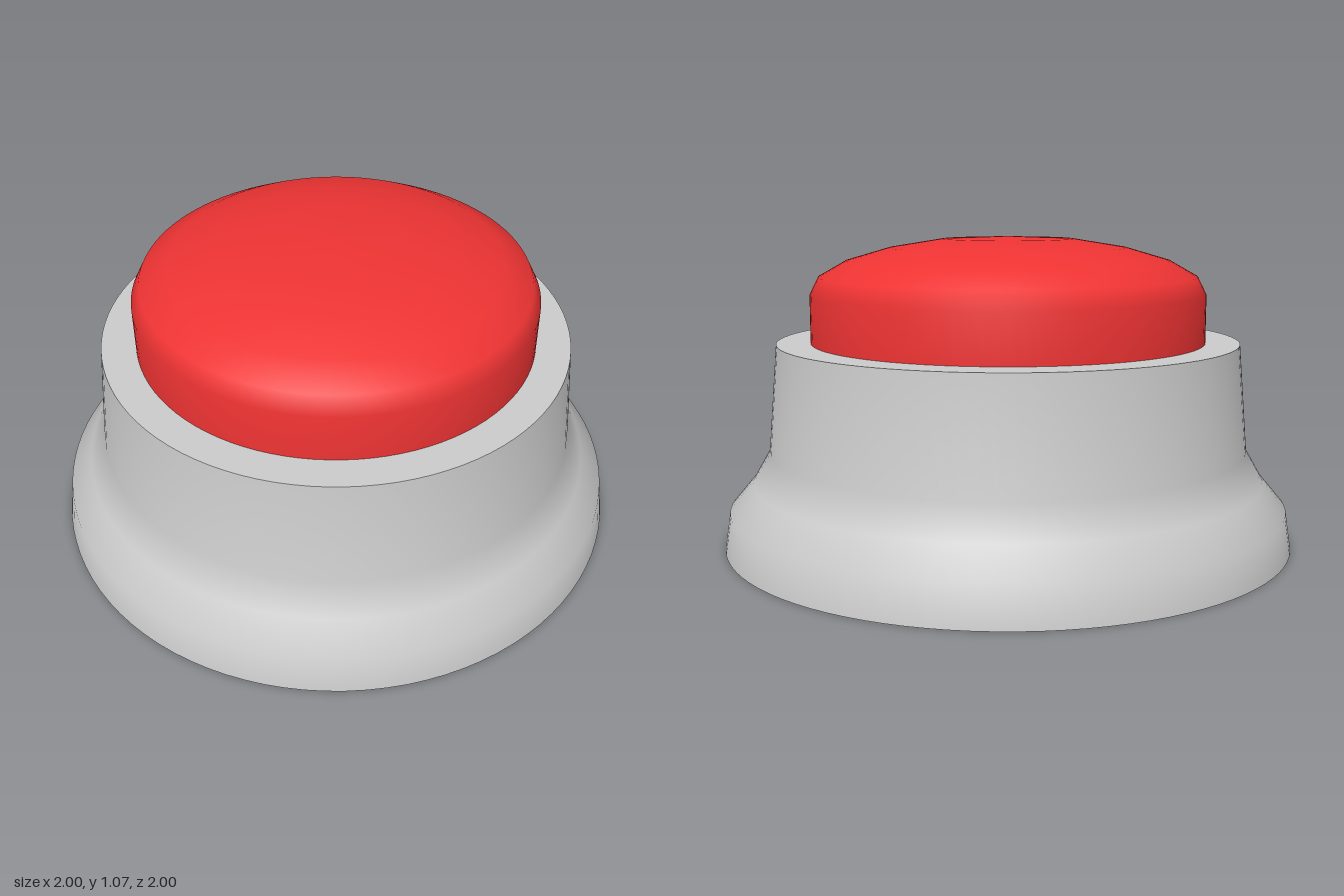
import * as THREE from 'three';

const SEGMENTS = 96;

// Smooth surface of revolution from [radius, height] pairs, bottom to top
function turned(name, profile, material) {
  const points = profile.map(([r, y]) => new THREE.Vector2(r, y));
  const mesh = new THREE.Mesh(new THREE.LatheGeometry(points, SEGMENTS), material);
  mesh.name = name;
  return mesh;
}

// Flat horizontal disc facing up (1) or down (-1), giving a crisp rim
function disc(name, radius, y, facing, material) {
  const geometry = new THREE.CircleGeometry(radius, SEGMENTS);
  geometry.rotateX(-facing * Math.PI / 2);
  const mesh = new THREE.Mesh(geometry, material);
  mesh.position.y = y;
  mesh.name = name;
  return mesh;
}

export function createModel() {
  const grey = new THREE.MeshStandardMaterial({ color: 0xcccccc });
  const red = new THREE.MeshStandardMaterial({ color: 0xee3333 });

  // Flared housing with flat top and bottom
  const base = new THREE.Group();
  base.name = 'base';
  base.add(
    turned('housing', [[1, 0], [0.98, 0.13], [0.9, 0.225], [0.84, 0.33], [0.808, 0.705]], grey),
    disc('topPlate', 0.808, 0.705, 1, grey),
    disc('underside', 1, 0, -1, grey)
  );

  // Domed push button
  const button = turned('button', [
    [0.69, 0.7], [0.69, 0.872], [0.66, 0.932], [0.565, 0.986],
    [0.415, 1.03], [0.23, 1.06], [0, 1.068]
  ], red);

  const model = new THREE.Group();
  model.name = 'pushButton';
  model.add(base, button);
  return model;
}
